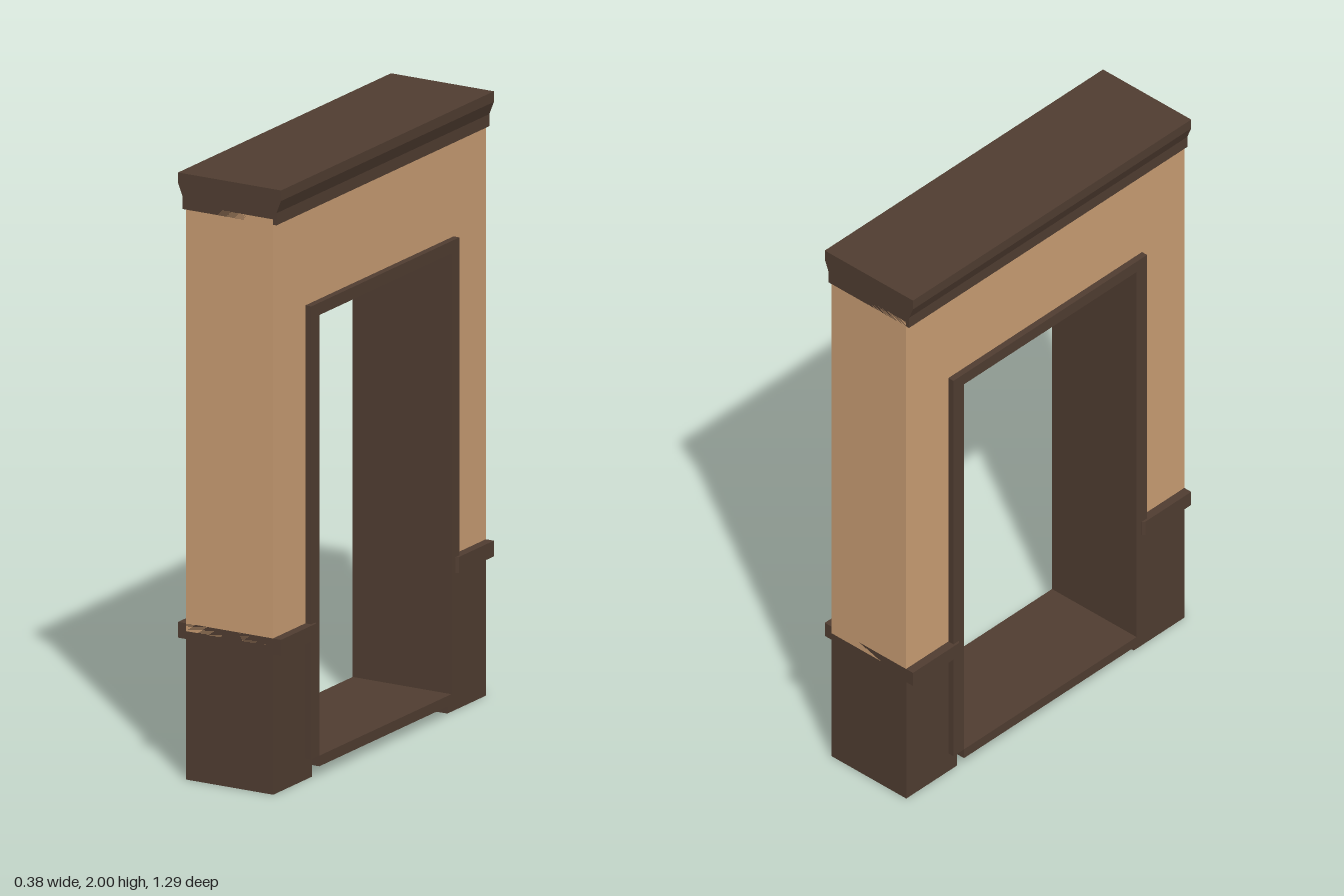
import * as THREE from 'three';

const wood = new THREE.MeshStandardMaterial({ color: 0x503d31, flatShading: true });
const plaster = new THREE.MeshStandardMaterial({ color: 0xc99d73, flatShading: true });
const halfLength = 0.645;

// Extrudes an outline, centred on its extrusion axis (z)
function prism(points, depth) {
  const shape = new THREE.Shape(points.map(([x, y]) => new THREE.Vector2(x, y)));
  return new THREE.ExtrudeGeometry(shape, { depth, bevelEnabled: false }).translate(0, 0, -depth / 2);
}

// Upside-down U outline of an arch with a square opening
function portal(inner, outer, bottom, innerTop, outerTop, thickness) {
  return prism([
    [-outer, bottom], [-inner, bottom], [-inner, innerTop], [inner, innerTop],
    [inner, bottom], [outer, bottom], [outer, outerTop], [-outer, outerTop],
  ], thickness).rotateY(Math.PI / 2);
}

export function createModel() {
  const group = new THREE.Group();
  const add = (name, geometry, material, x = 0, y = 0, z = 0) => {
    const mesh = new THREE.Mesh(geometry, material);
    mesh.name = name;
    mesh.position.set(x, y, z);
    group.add(mesh);
    return mesh;
  };

  // Plaster wall around the doorway
  add('wall', portal(0.41, halfLength, 0.49, 1.535, 1.9, 0.322), plaster);

  // Door frame lining and casing, with threshold
  add('doorFrame', portal(0.4, 0.449, 0.07, 1.525, 1.566, 0.366), wood);
  add('threshold', new THREE.BoxGeometry(0.366, 0.035, 0.8), wood, 0, 0.0525, 0);

  // Panelled base and chair rail on each side of the doorway
  for (const side of [1, -1]) {
    const name = side > 0 ? 'front' : 'back';
    add(name + 'Wainscot', new THREE.BoxGeometry(0.324, 0.47, 0.235), wood, 0, 0.235, side * 0.5275);

    // Rail with chamfered ends beside the casing
    const rail = prism([
      [-0.191, -halfLength], [0.191, -halfLength], [0.191, -0.432], [0.184, -0.424],
      [-0.184, -0.424], [-0.191, -0.432],
    ], 0.052).rotateX(-Math.PI / 2);
    const mesh = add(name + 'ChairRail', rail, wood, 0, 0.49, 0);
    if (side < 0) mesh.rotation.y = Math.PI;
  }

  // Crown moulding
  add('crownMoulding', prism([
    [-0.174, 1.882], [0.174, 1.882], [0.174, 1.922], [0.191, 1.965],
    [0.191, 2], [-0.191, 2], [-0.191, 1.965], [-0.174, 1.922],
  ], halfLength * 2), wood);

  return group;
}
